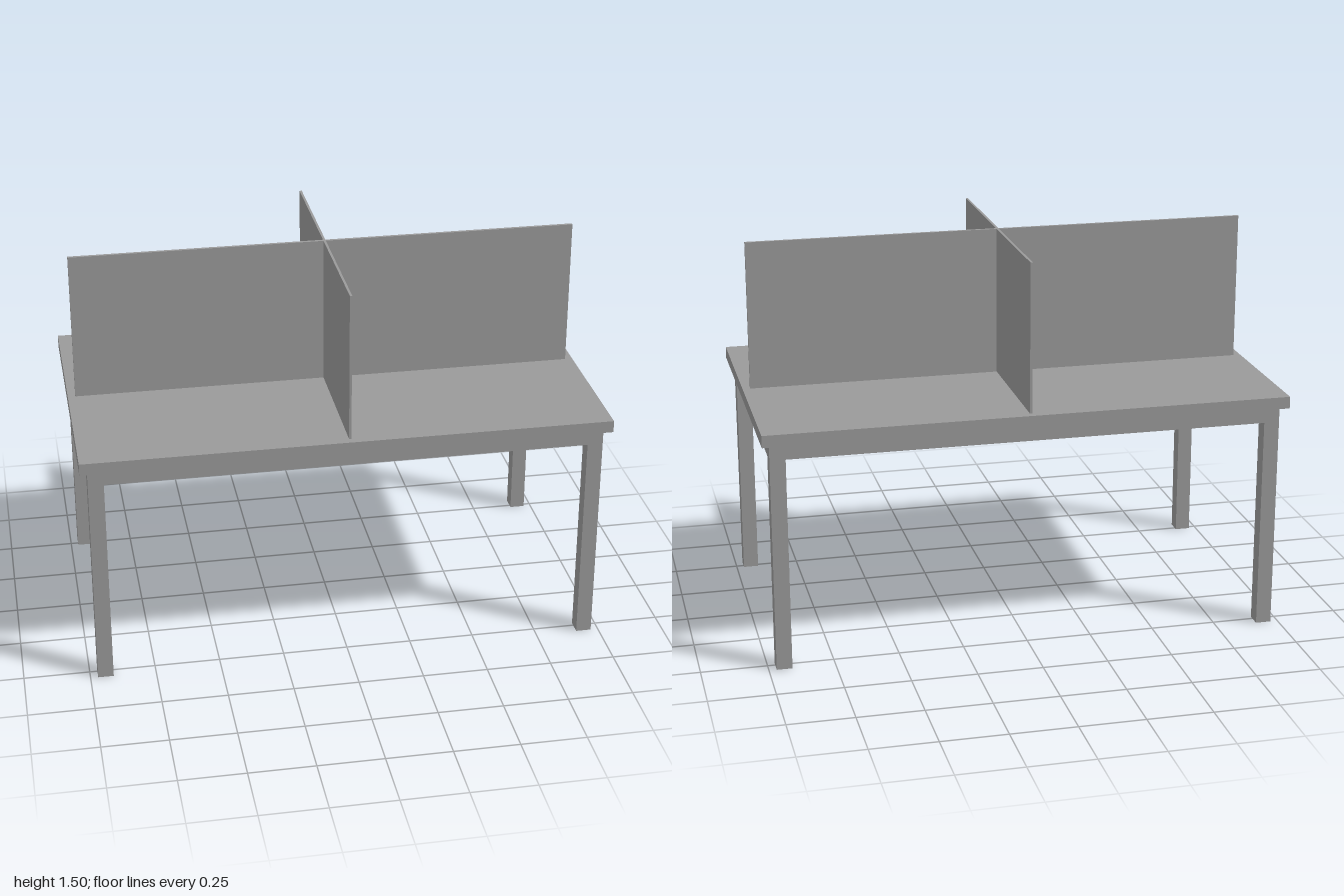
import * as THREE from 'three';

export function createModel() {
  const group = new THREE.Group();
  const material = new THREE.MeshStandardMaterial({ color: 0x9a9a9a, flatShading: true });

  // Box given its size, centre x/z and bottom y
  function box(name, w, h, d, x, y, z, turn = 0) {
    const mesh = new THREE.Mesh(new THREE.BoxGeometry(w, h, d), material);
    mesh.name = name;
    mesh.position.set(x, y + h / 2, z);
    mesh.rotation.y = turn;
    group.add(mesh);
  }

  const bar = 0.059;                   // square section of legs and rails
  const outX = 0.971, outZ = 0.543;    // outer faces of the frame
  const legX = outX - bar / 2, legZ = outZ - bar / 2;
  const topBottom = 0.886, topHeight = 0.046;
  const railY = 0.825, railH = topBottom - railY;

  box('tableTop', 2, topHeight, 1.146, 0, topBottom, 0);

  // Legs
  for (const sx of [-1, 1])
    for (const sz of [-1, 1])
      box('leg', bar, topBottom, bar, sx * legX, 0, sz * legZ);

  // Rails between the legs, and diagonal braces from corner to corner
  const diagonal = 2 * Math.hypot(legX, legZ);
  const angle = Math.atan2(legZ, legX);
  for (const s of [-1, 1]) {
    box('longRail', 2 * (outX - bar), railH, bar, 0, railY, s * legZ);
    box('sideRail', bar, railH, 2 * (outZ - bar), s * legX, railY, 0);
    box('diagonalBrace', diagonal, railH, bar, 0, railY, 0, s * angle);
  }

  // Crossed divider panels
  const panelY = topBottom + topHeight, panelH = 0.572, thick = 0.012;
  box('longDivider', 2 * outX, panelH, thick, 0, panelY, 0);
  const crossLength = outZ - thick / 2;
  for (const s of [-1, 1])
    box('crossDivider', 0.009, panelH, crossLength, 0, panelY, s * (thick + crossLength) / 2);

  return group;
}
